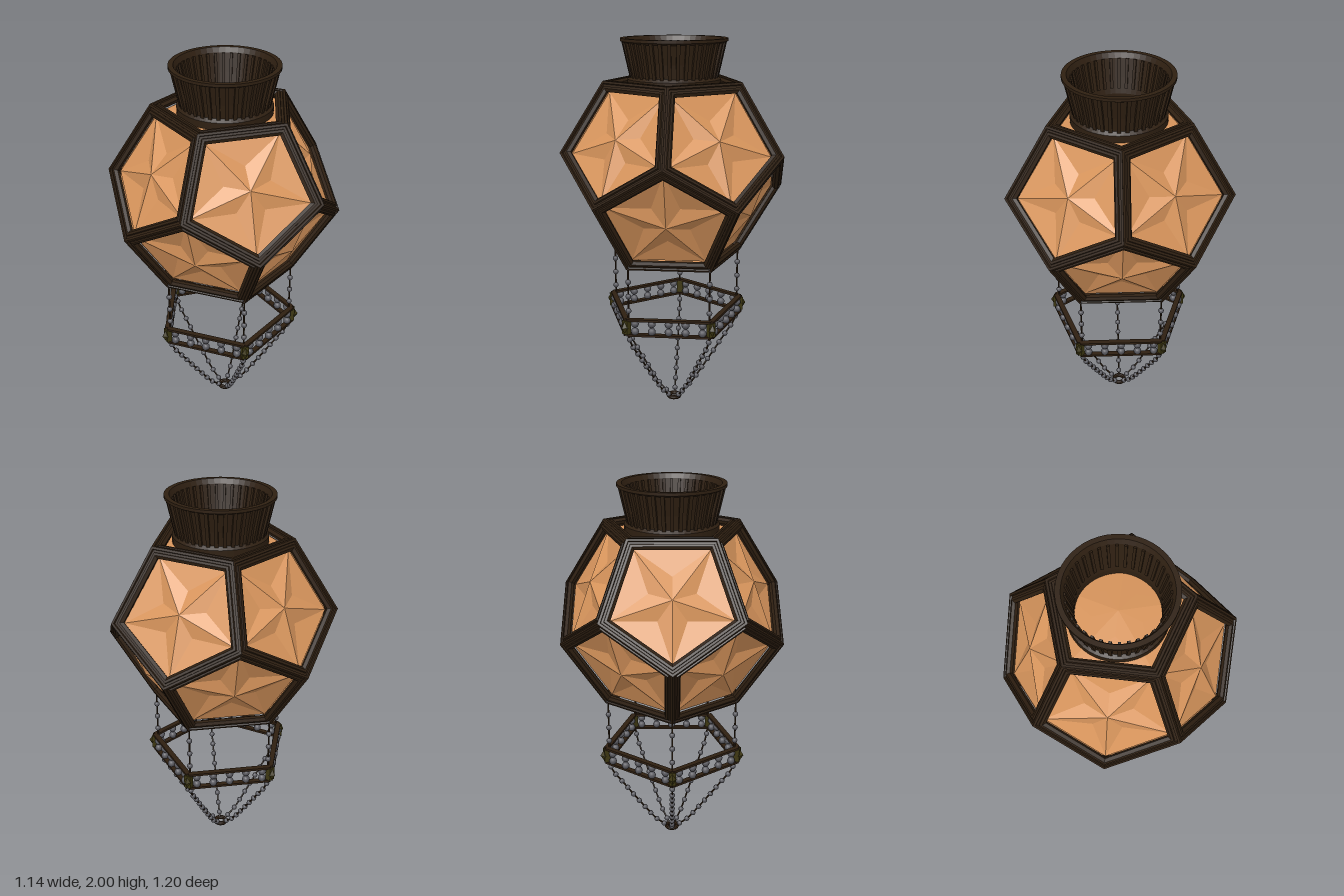
import * as THREE from 'three';

const R = 0.61;                 // corner radius of the twelve-sided cage
const FACE = 0.607 * R;         // corner radius of one face
const DIST = 0.795 * R;         // centre to face
const STEP = Math.PI * 2 / 5;

const mat = (color, extra = {}) => new THREE.MeshStandardMaterial({ color, flatShading: true, ...extra });
const wood = mat(0x2e1f11, { side: THREE.DoubleSide });
const glass = mat(0xd8955c, { side: THREE.DoubleSide });
const beadMat = mat(0x56565c, { flatShading: false });
const brass = mat(0x3d3712);

const V = (x, y, z) => new THREE.Vector3(x, y, z);
const polar = (r, a, y) => V(r * Math.sin(a), y, r * Math.cos(a));

function add(parent, name, geo, material, pos) {
  const m = new THREE.Mesh(geo, material);
  m.name = name;
  if (pos) m.position.copy(pos);
  parent.add(m);
  return m;
}

// Five-pointed star relief inside a pentagon, axis +y
function starPanel(notchHeight) {
  const r = 0.318, pts = [];
  const tri = (...vs) => vs.forEach(v => pts.push(v.x, v.y, v.z));
  const peak = V(0, -0.002, 0);
  for (let i = 0; i < 5; i++) {
    const a = polar(r, i * STEP, -0.04), b = polar(r, (i + 1) * STEP, -0.04);
    const n = polar(0.382 * r, (i + 0.5) * STEP, notchHeight);
    tri(peak, a, n);
    tri(peak, n, b);
    tri(a, b, n);
  }
  const g = new THREE.BufferGeometry();
  g.setAttribute('position', new THREE.Float32BufferAttribute(pts, 3));
  g.computeVertexNormals();
  return g;
}

// Straight bar between two points
function bar(parent, name, a, b, w, h, material) {
  const m = add(parent, name, new THREE.BoxGeometry(w, h, a.distanceTo(b)), material, a.clone().lerp(b, 0.5));
  m.lookAt(b);
  return m;
}

function createCage() {
  const cage = new THREE.Group();
  cage.name = 'cage';
  // Grooved frame section, swept round five sides
  const section = [[0.344, -0.034], [FACE, 0], [0.356, 0], [0.353, -0.008], [0.34, -0.008], [0.337, 0],
    [0.322, 0], [0.305, -0.012], [0.312, -0.03], [0.344, -0.034]];
  const frameGeo = new THREE.LatheGeometry(section.map(p => new THREE.Vector2(...p)), 5);
  const starGeo = starPanel(-0.044), plainGeo = starPanel(-0.019);

  const addFace = (tilt, azimuth, spin, panelGeo) => {
    const face = new THREE.Group();
    face.name = 'cageFace';
    face.rotation.set(tilt, azimuth, 0, 'YXZ');
    face.position.copy(V(0, DIST, 0).applyEuler(face.rotation));
    face.rotateY(spin);
    add(face, 'faceFrame', frameGeo, wood);
    add(face, 'glassPanel', panelGeo, glass);
    cage.add(face);
  };
  const lean = Math.atan(2);
  addFace(0, 0, 0, plainGeo);
  addFace(Math.PI, 0, 0, starGeo);
  for (let i = 0; i < 5; i++) {
    addFace(lean, (i + 0.5) * STEP, 0, starGeo);
    addFace(Math.PI - lean, i * STEP, Math.PI, starGeo);
  }
  cage.position.y = 1.32;
  cage.scale.y = 0.97;
  return cage;
}

function createCollar() {
  const collar = new THREE.Group();
  collar.name = 'collar';
  const profile = [[0.2, 1.76], [0.24, 1.76], [0.24, 1.795], [0.222, 1.81], [0.232, 1.88], [0.255, 1.975], [0.275, 1.985],
    [0.275, 2], [0.25, 2], [0.238, 1.975], [0.218, 1.88], [0.2, 1.8], [0.2, 1.76]];
  add(collar, 'collarWall', new THREE.LatheGeometry(profile.map(p => new THREE.Vector2(...p)), 48), wood);
  // Leaning ribs outside and inside
  const outer = new THREE.BoxGeometry(0.018, 0.19, 0.02);
  const inner = new THREE.BoxGeometry(0.014, 0.15, 0.02);
  const n = 36;
  for (let i = 0; i < n; i++) {
    const a = i * Math.PI * 2 / n;
    const o = add(collar, 'outerRib', outer, wood, polar(0.238, a, 1.893));
    o.rotation.set(0.22, a, 0, 'YXZ');
    const k = add(collar, 'innerRib', inner, wood, polar(0.223, a, 1.9));
    k.rotation.set(0.2, a, 0, 'YXZ');
  }
  return collar;
}

// Wire with evenly spaced beads along a curve
function beadChain(parent, name, curve, count, radius) {
  const chain = new THREE.Group();
  chain.name = name;
  add(chain, 'wire', new THREE.TubeGeometry(curve, 16, 0.005, 5), wood);
  const geo = new THREE.SphereGeometry(radius, 10, 8);
  for (let i = 0; i < count; i++) add(chain, 'bead', geo, beadMat, curve.getPointAt((i + 0.5) / count));
  parent.add(chain);
}

function createPendant() {
  const pendant = new THREE.Group();
  pendant.name = 'pendant';
  const ringR = 0.375, rowBead = new THREE.SphereGeometry(0.021, 10, 8);
  for (let i = 0; i < 5; i++) {
    const a = (i + 0.5) * STEP, b = a + STEP;

    // Rails of the five-sided ring
    for (const y of [0.497, 0.58]) bar(pendant, 'ringRail', polar(ringR, a, y), polar(ringR, b, y), 0.028, 0.012, wood);

    // Two rows of beads between the rails
    for (const y of [0.517, 0.56])
      for (let k = 0; k < 5; k++)
        add(pendant, 'ringBead', rowBead, beadMat, polar(ringR, a, y).lerp(polar(ringR, b, y), (k + 0.5) / 5));

    // Corner clasp
    const clasp = new THREE.Group();
    clasp.name = 'cornerClasp';
    clasp.position.copy(polar(ringR, a, 0.54));
    clasp.rotation.y = a;
    add(clasp, 'claspPlate', new THREE.BoxGeometry(0.036, 0.075, 0.03), brass);
    const stud = add(clasp, 'claspStud', new THREE.OctahedronGeometry(0.022), brass, V(0, 0, 0.013));
    stud.scale.y = 1.6;
    pendant.add(clasp);

    // Chains above and below the ring
    beadChain(pendant, 'upperChain', new THREE.LineCurve3(polar(0.358, a, 0.9), polar(0.358, a, 0.585)), 4, 0.015);
    const sweep = [[0.36, 0.49], [0.345, 0.44], [0.285, 0.35], [0.165, 0.175], [0.09, 0.075], [0.025, 0.018]];
    beadChain(pendant, 'lowerChain', new THREE.CatmullRomCurve3(sweep.map(([r, y]) => polar(r, a, y))), 10, 0.015);
  }
  // Small ring gathering the chains
  const tip = add(pendant, 'tipRing', new THREE.TorusGeometry(0.03, 0.012, 8, 20), wood, V(0, 0.012, 0));
  tip.rotation.x = Math.PI / 2;
  return pendant;
}

export function createModel() {
  const model = new THREE.Group();
  model.name = 'lantern';
  model.add(createCage(), createCollar(), createPendant());
  return model;
}
